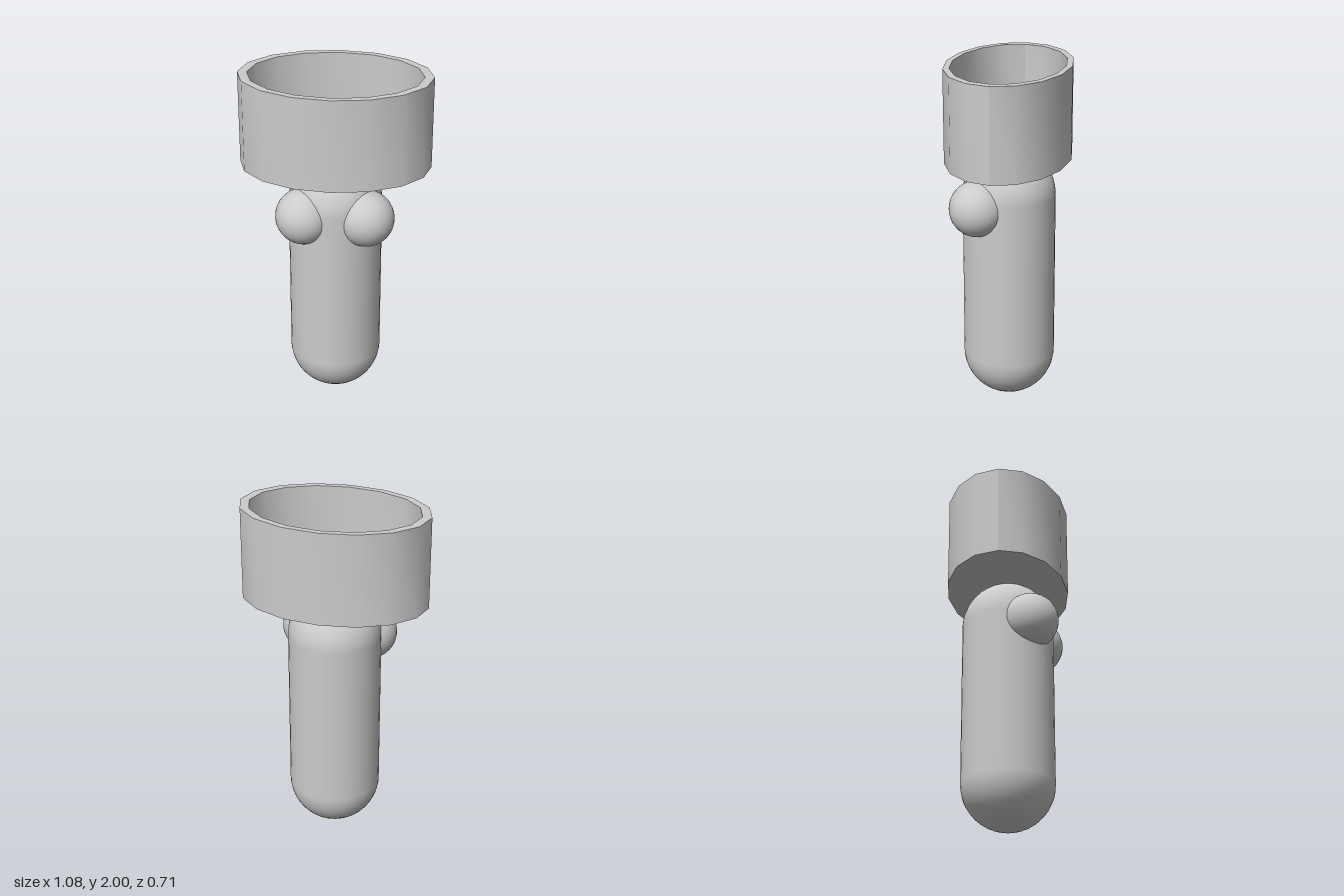
import * as THREE from 'three';
import { toCreasedNormals } from 'three/addons/utils/BufferGeometryUtils.js';

const material = new THREE.MeshStandardMaterial({ color: 0xcccccc });

function addPart(group, name, geometry, x = 0, y = 0, z = 0) {
  const mesh = new THREE.Mesh(geometry, material);
  mesh.name = name;
  mesh.position.set(x, y, z);
  group.add(mesh);
}

export function createModel() {
  const model = new THREE.Group();
  model.name = 'figure';

  // Upright capsule body; its dome is trimmed flat inside the cup floor
  const r = 0.267, domeY = 1.24, trimY = 1.468;
  const profile = [];
  for (let i = 0; i <= 12; i++) {
    const a = (i / 12) * Math.PI / 2;
    profile.push(new THREE.Vector2(r * Math.sin(a), r - r * Math.cos(a)));
  }
  const end = Math.asin((trimY - domeY) / r);
  for (let i = 0; i <= 10; i++) {
    const a = (i / 10) * end;
    profile.push(new THREE.Vector2(r * Math.cos(a), domeY + r * Math.sin(a)));
  }
  addPart(model, 'body', new THREE.LatheGeometry(profile, 40));

  // Open oval cup on top: sixteen sides, thin floor, hollow inside
  const cupProfile = [
    [0, 1.46], [0.54, 1.46], [0.54, 2], [0.487, 2], [0.487, 1.475], [0, 1.475],
  ].map(([x, y]) => new THREE.Vector2(x, y));
  const cup = new THREE.LatheGeometry(cupProfile, 16);
  cup.scale(1, 1, 0.357 / 0.54);
  addPart(model, 'cup', toCreasedNormals(cup, THREE.MathUtils.degToRad(30)));

  // Bulging eyes, set into the front of the body
  addPart(model, 'leftEye', new THREE.SphereGeometry(0.161, 32, 24), 0.184, 1.198, 0.147);
  addPart(model, 'rightEye', new THREE.SphereGeometry(0.161, 32, 24), -0.168, 1.198, 0.148);

  return model;
}
